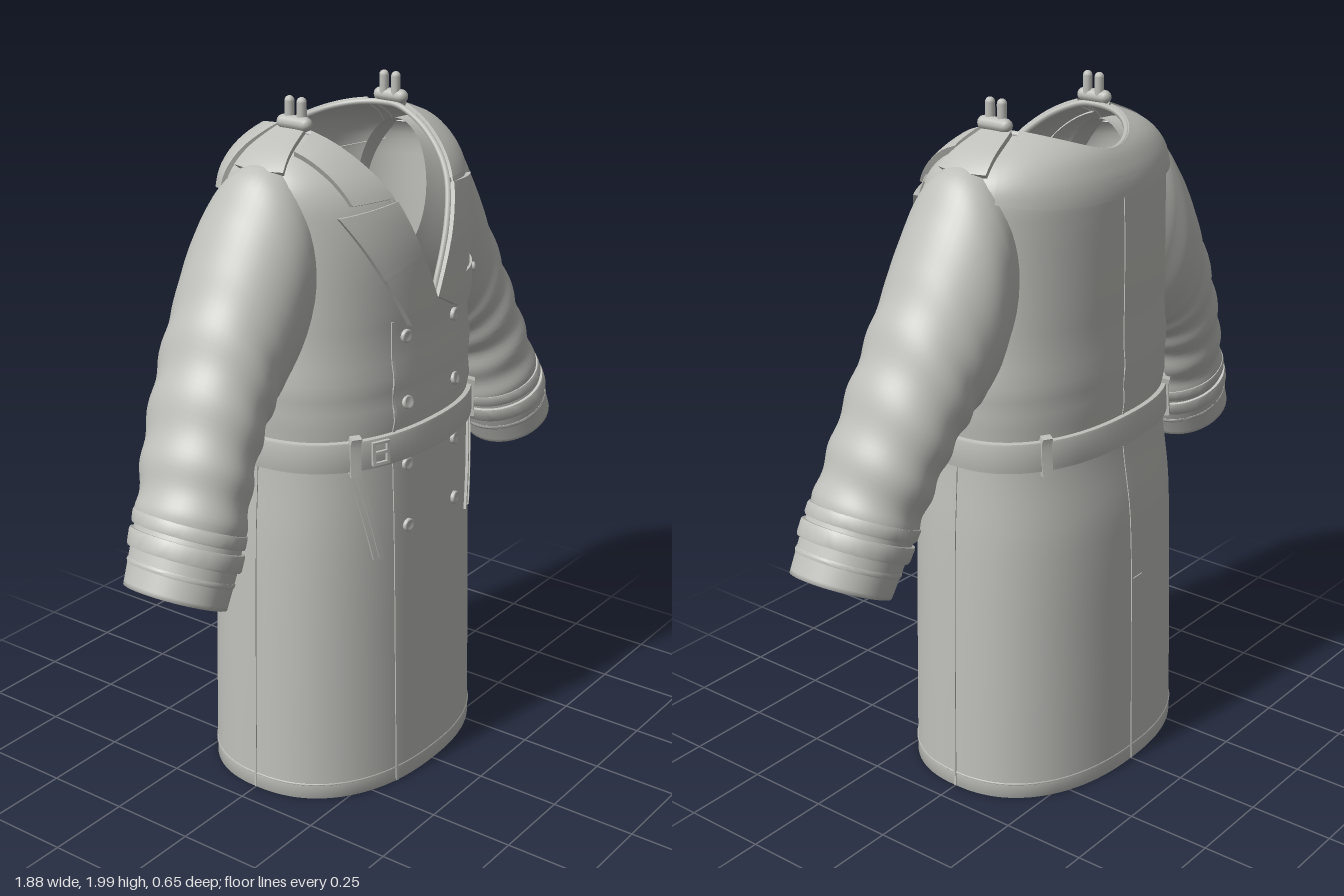
import * as THREE from 'three';
import { toCreasedNormals } from 'three/addons/utils/BufferGeometryUtils.js';

const cloth = new THREE.MeshStandardMaterial({ color: 0xbfbfbb, side: THREE.DoubleSide });
cloth.name = 'grey cloth';
const V = (x, y, z) => new THREE.Vector3(x, y, z);
const { lerp, clamp } = THREE.MathUtils;

// Torso stations: height, half width, front depth, back depth
const TORSO = [
  [0, 0.435, 0.328, 0.322], [0.4, 0.427, 0.32, 0.315], [0.8, 0.415, 0.312, 0.303], [1.0, 0.402, 0.306, 0.275],
  [1.1, 0.4, 0.303, 0.268], [1.15, 0.411, 0.31, 0.275], [1.2, 0.409, 0.3, 0.271], [1.25, 0.417, 0.306, 0.276],
  [1.32, 0.407, 0.297, 0.27], [1.45, 0.402, 0.297, 0.27], [1.6, 0.4, 0.292, 0.268], [1.7, 0.4, 0.275, 0.265],
  [1.76, 0.398, 0.252, 0.26], [1.81, 0.382, 0.215, 0.245], [1.86, 0.325, 0.16, 0.215], [1.9, 0.235, 0.1, 0.16], [1.93, 0.15, 0.05, 0.08],
];
const POWER = 2.3;

function station(y) {
  const n = TORSO.length;
  let i = 0;
  while (i < n - 2 && y > TORSO[i + 1][0]) i++;
  const a = TORSO[i], b = TORSO[i + 1], p = TORSO[Math.max(i - 1, 0)], q = TORSO[Math.min(i + 2, n - 1)];
  const h = b[0] - a[0], t = clamp((y - a[0]) / h, 0, 1), t2 = t * t, t3 = t2 * t;
  return [1, 2, 3].map(k => {
    const m0 = (b[k] - p[k]) / (b[0] - p[0]) * h, m1 = (q[k] - a[k]) / (q[0] - a[0]) * h;
    return (2 * t3 - 3 * t2 + 1) * a[k] + (t3 - 2 * t2 + t) * m0 + (3 * t2 - 2 * t3) * b[k] + (t3 - t2) * m1;
  });
}

// Point on the torso at an angle (0 = left side, PI/2 = front) and height
function skin(a, y) {
  const [w, f, b] = station(y), c = Math.cos(a), s = Math.sin(a), e = 2 / POWER;
  return V(w * Math.sign(c) * Math.abs(c) ** e, y, (s > 0 ? f : b) * Math.sign(s) * Math.abs(s) ** e);
}
function raised(a, y, off) {
  const d = 0.004;
  const da = skin(a + d, y).sub(skin(a - d, y)), dy = skin(a, y + d).sub(skin(a, y - d));
  return skin(a, y).addScaledVector(dy.cross(da).normalize(), off);
}
// Angle on the torso for a given x, on the front or back
function angleAt(x, y, back) {
  const r = clamp(Math.abs(x) / station(y)[0], 0, 1) ** (POWER / 2);
  return Math.acos(Math.sign(x) * r) * (back ? -1 : 1);
}
// Height of the neckline: a V in front, an oval behind
function neckline(a) {
  let lo = 1.4, hi = 1.93;
  for (let i = 0; i < 30; i++) {
    const y = (lo + hi) / 2, p = skin(a, y);
    const open = Math.sin(a) > 0 ? y > 1.45 + 2.19 * Math.abs(p.x) : (p.x / 0.21) ** 2 + (p.z / 0.222) ** 2 < 1;
    if (open) hi = y; else lo = y;
  }
  return lo;
}

// Surface from a rule over a grid
function grid(rule, nu, nv, closed) {
  const pos = [], idx = [], cols = closed ? nu : nu + 1;
  for (let j = 0; j <= nv; j++) for (let i = 0; i < cols; i++) pos.push(...rule(i, j).toArray());
  for (let j = 0; j < nv; j++) for (let i = 0; i < nu; i++) {
    const k = (i + 1) % cols, a = j * cols + i, b = j * cols + k, c = a + cols, d = b + cols;
    idx.push(a, c, b, b, c, d);
  }
  const g = new THREE.BufferGeometry();
  g.setAttribute('position', new THREE.Float32BufferAttribute(pos, 3));
  g.setIndex(idx);
  g.computeVertexNormals();
  return g;
}

export function createModel() {
  const coat = new THREE.Group();
  coat.name = 'coat';
  const add = (name, geo) => {
    const m = new THREE.Mesh(geo, cloth);
    m.name = name;
    coat.add(m);
    return m;
  };
  // Raised cloth panel; where(u, v) gives [angle, height]
  const panel = (name, where, off, nu = 8, nv = 8) => add(name, toCreasedNormals(grid((i, j) => {
    const edge = i === 0 || j === 0 || i === nu + 2 || j === nv + 2;
    const [a, y] = where(clamp((i - 1) / nu, 0, 1), clamp((j - 1) / nv, 0, 1));
    return raised(a, y, edge ? -0.004 : off);
  }, nu + 2, nv + 2), 0.7));
  // Four-cornered panel given in x and y
  const quad = (name, [p, q, r, s], off, back = false, nu = 8, nv = 8) => panel(name, (u, v) => {
    const x = lerp(lerp(p[0], q[0], u), lerp(s[0], r[0], u), v), y = lerp(lerp(p[1], q[1], u), lerp(s[1], r[1], u), v);
    return [angleAt(x, y, back), y];
  }, off, nu, nv);
  const rect = (name, x0, x1, y0, y1, off, back, nv = 8) => quad(name, [[x0, y0], [x1, y0], [x1, y1], [x0, y1]], off, back, 4, nv);

  // Main body with a turned-in hem and open neck
  const N = 128, tops = Array.from({ length: N }, (_, i) => neckline(i / N * Math.PI * 2));
  add('body', grid((i, j) => {
    const a = i / N * Math.PI * 2;
    if (j < 2) return raised(a, j ? 0.008 : 0.06, -0.014);
    if (j < 34) return skin(a, 0.008 + (j - 2) / 32 * 1.342);
    return skin(a, lerp(1.35, tops[i], 1 - (1 - (j - 33) / 27) ** 1.5));
  }, N, 60, true));
  const rim = Array.from({ length: N }, (_, i) => skin(i / N * Math.PI * 2, tops[i]));
  add('neckEdge', new THREE.TubeGeometry(new THREE.CatmullRomCurve3(rim, true), 180, 0.009, 6, true));

  // Belt, loops and buckle
  const belt = [[1.02, -0.004], [1.02, 0.014], [1.027, 0.016], [1.1, 0.016], [1.107, 0.014], [1.107, -0.004]];
  add('belt', toCreasedNormals(grid((i, j) => raised(i / 96 * Math.PI * 2, ...belt[j]), 96, 5, true), 0.7));
  for (const x of [-0.28, 0.28]) for (const back of [false, true]) rect('beltLoop', x - 0.012, x + 0.012, 1.005, 1.122, 0.023, back);
  const bar = (x0, x1, y0, y1) => rect('buckle', x0, x1, y0, y1, 0.026, false);
  bar(-0.24, -0.232, 1.03, 1.1);
  bar(-0.2, -0.192, 1.03, 1.1);
  for (const y of [1.03, 1.062, 1.092]) bar(-0.24, -0.192, y, y + 0.008);

  // Seams
  rect('frontEdge', -0.168, -0.16, 0.01, 1.42, 0.004, false, 50);
  rect('backSeam', -0.003, 0.003, 0.01, 1.74, 0.003, true, 60);
  rect('ventStitch', -0.05, 0.003, 0.6, 0.605, 0.003, true);
  for (const a of [0, Math.PI]) panel('sideSeam', (u, v) => [a + (u - 0.5) * 0.012, lerp(0.01, 1.02, v)], 0.003, 2, 30);
  add('hemStitch', grid((i, j) => raised(i / 96 * Math.PI * 2, 0.05 + j * 0.003, j === 1 ? 0.003 : 0), 96, 2, true));

  // Buttons in two rows, facing out from the cloth
  const button = (x, y, r, lift = 0) => {
    const a = angleAt(x, y), p = raised(a, y, lift), n = raised(a, y, lift + 1).sub(p);
    const g = new THREE.LatheGeometry([[r, 0], [r, 0.008], [r * 0.8, 0.012], [r * 0.65, 0.008], [0, 0.008]].map(q => new THREE.Vector2(...q)), 16);
    const m = add('button', g);
    m.position.copy(p);
    m.quaternion.setFromUnitVectors(V(0, 1, 0), n.normalize());
  };
  for (const y of [1.37, 1.18, 1, 0.815]) for (const x of [-0.115, 0.118]) button(x, y, 0.019);

  // Chest panel with a pointed flap
  quad('chestPanel', [[0.06, 1.47], [0.335, 1.47], [0.335, 1.775], [0.17, 1.775]], 0.005, false, 12, 12);
  quad('chestFlap', [[0.06, 1.475], [0.2, 1.475], [0.2, 1.385], [0.1, 1.42]], 0.012);
  quad('chestFlap', [[0.2, 1.475], [0.34, 1.475], [0.33, 1.43], [0.2, 1.385]], 0.012);
  button(0.3, 1.45, 0.013, 0.01);

  for (const s of [-1, 1]) {
    const m = pts => pts.map(([x, y]) => [x * s, y]);
    // Lapel, collar and slanted pocket
    quad('lapel', m([[0.13, 1.735], [0.3, 1.72], [0.2, 1.545], [0.065, 1.59]]), 0.02, false, 10, 10);
    quad('lapel', m([[0.065, 1.592], [0.2, 1.547], [0.11, 1.4], [0.002, 1.455]]), 0.02, false, 10, 10);
    quad('collar', m([[0.212, 1.9], [0.3, 1.865], [0.262, 1.745], [0.135, 1.745]]), 0.017, false, 10, 12);
    quad('pocketWelt', m([[0.262, 1.015], [0.295, 1.015], [0.238, 0.745], [0.205, 0.74]]), 0.008, false, 4, 10);
    quad('pocketSlit', m([[0.275, 1.01], [0.281, 1.01], [0.224, 0.75], [0.219, 0.75]]), 0.012, false, 2, 10);

    // Shoulder strap with its loops at the neck
    const mid = s > 0 ? 0 : Math.PI;
    panel('shoulderStrap', (u, v) => [mid + (u - 0.5) * 0.6, lerp(1.825, 1.905, v)], 0.016, 8, 10);
    const base = add('strapBase', new THREE.CapsuleGeometry(0.02, 0.07, 4, 10));
    base.rotation.x = Math.PI / 2;
    base.position.set(0.22 * s, 1.93, 0);
    for (const z of [-0.02, 0.02]) {
      const loop = add('strapLoop', new THREE.CapsuleGeometry(0.014, 0.057, 4, 10));
      loop.position.set(0.215 * s, 1.957, z);
    }

    // Sleeve sections: outer edge x y, inner edge x y, z centre, z radius
    const ARM = [
      [0.25, 1.86, 0.2, 1.46, 0, 0.12], [0.4, 1.835, 0.32, 1.31, -0.005, 0.175], [0.485, 1.73, 0.385, 1.24, -0.012, 0.185],
      [0.575, 1.58, 0.43, 1.2, -0.01, 0.177], [0.675, 1.4, 0.485, 1.155, 0, 0.17], [0.765, 1.22, 0.545, 1.07, 0.015, 0.163],
      [0.835, 1.07, 0.59, 0.955, 0.035, 0.155], [0.885, 0.97, 0.635, 0.85, 0.048, 0.148], [0.938, 0.86, 0.69, 0.742, 0.055, 0.14],
    ];
    const curve = pick => new THREE.CatmullRomCurve3(ARM.map(pick));
    const outer = curve(r => V(r[0] * s, r[1], 0)), inner = curve(r => V(r[2] * s, r[3], 0)), deep = curve(r => V(r[4], r[5], 0));
    const arm = (t, f, k) => {
      const o = outer.getPoint(t), i = inner.getPoint(t), d = deep.getPoint(t);
      const c = o.clone().add(i).multiplyScalar(0.5);
      c.addScaledVector(o.sub(i), 0.5 * k * Math.cos(f));
      return c.setZ(d.x + d.y * k * Math.sin(f));
    };
    const turn = i => i / 48 * Math.PI * 2;
    add('sleeve', grid((i, j) => {
      const f = turn(i);
      if (j > 80) return arm(j === 81 ? 1 : 0.9, f, 0.92);
      const t = j / 80, fade = THREE.MathUtils.smoothstep(t, 0.3, 0.5) * (1 - THREE.MathUtils.smoothstep(t, 0.8, 0.86));
      return arm(t, f, 1 + fade * 0.028 * Math.sin(t * 58 + 1.3 * Math.sin(f + 0.6)));
    }, 48, 82, true));
    // Cuff strap and stitched ridge
    const band = (name, t0, t1, k) => add(name, toCreasedNormals(grid((i, j) =>
      arm([t0, t0, t0 + 0.006, t1 - 0.006, t1, t1][j], turn(i), [0.97, k - 0.015, k, k, k - 0.015, 0.97][j]), 48, 5, true), 0.7));
    band('cuffStrap', 0.845, 0.895, 1.07);
    band('cuffRidge', 0.79, 0.83, 1.05);
    band('cuffHem', 0.925, 0.94, 1.02);
  }

  // Back yoke reaching up to the neck, slightly curved along its lower edge
  panel('backYoke', (u, v) => {
    const a = lerp(-Math.PI + 0.42, -0.42, u);
    return [a, lerp(1.735 + 0.03 * (2 * u - 1) ** 2, neckline(a), v)];
  }, 0.013, 40, 14);
  return coat;
}
